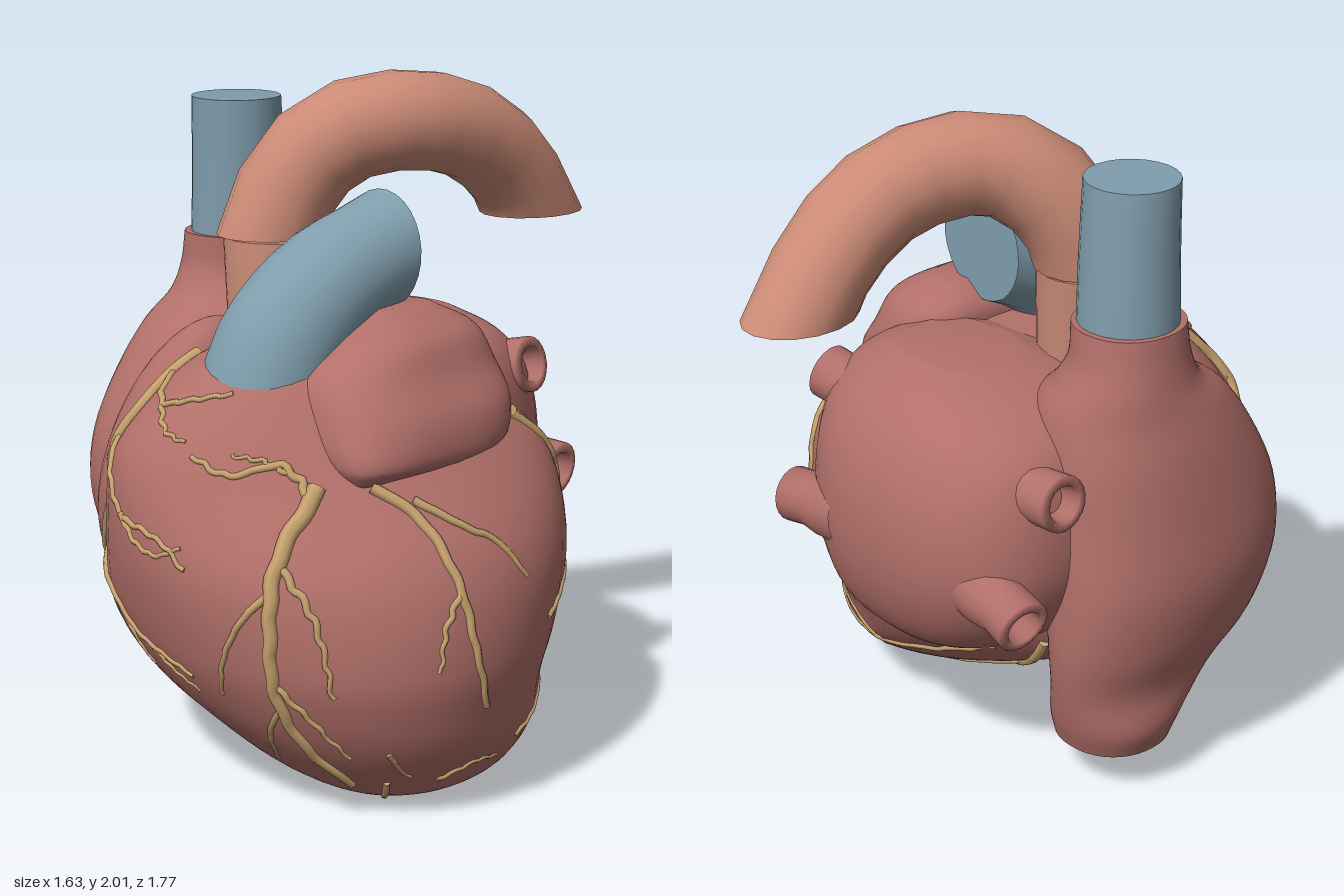
import * as THREE from 'three';

const V = (x, y, z) => new THREE.Vector3(x, y, z);
const mat = (name, color) => {
  const m = new THREE.MeshStandardMaterial({ color });
  m.name = name;
  return m;
};

// Surface through closed rings of points; flat ends get their own vertices
function skin(rings, flat) {
  const n = rings[0].length, pos = [], idx = [];
  rings.forEach(r => r.forEach(p => pos.push(p.x, p.y, p.z)));
  for (let i = 0; i < rings.length - 1; i++) {
    for (let j = 0; j < n; j++) {
      const a = i * n + j, b = i * n + (j + 1) % n;
      idx.push(a, a + n, b, b, a + n, b + n);
    }
  }
  [0, rings.length - 1].forEach((row, end) => {
    const ring = rings[row];
    const c = ring.reduce((s, p) => s.add(p), V(0, 0, 0)).divideScalar(n);
    let base = row * n;
    if (flat) {
      base = pos.length / 3;
      ring.forEach(p => pos.push(p.x, p.y, p.z));
    }
    const k = pos.length / 3;
    pos.push(c.x, c.y, c.z);
    for (let j = 0; j < n; j++) {
      const a = base + j, b = base + (j + 1) % n;
      if (end) idx.push(k, b, a); else idx.push(k, a, b);
    }
  });
  const g = new THREE.BufferGeometry();
  g.setAttribute('position', new THREE.Float32BufferAttribute(pos, 3));
  g.setIndex(idx);
  g.computeVertexNormals();
  return g;
}

// Rounded body from level sections [y, xMin, xMax, zMin, zMax, skew, cut]
// skew turns the whole section, cut trims its back corner on the -x side
function body(sections, power, flat, steps = 5, sides = 48) {
  const columns = [];
  for (let j = 0; j < sides; j++) {
    const t = j / sides * Math.PI * 2, e = 2 / power;
    const c = Math.sign(Math.cos(t)) * Math.abs(Math.cos(t)) ** e;
    const s = Math.sign(Math.sin(t)) * Math.abs(Math.sin(t)) ** e;
    const curve = new THREE.CatmullRomCurve3(sections.map(([y, x0, x1, z0, z1, skew = 0, cut = 0]) => {
      const dx = c * (x1 - x0) / 2;
      const z = (z0 + z1) / 2 + s * (z1 - z0) / 2 - skew * dx - cut * Math.min(dx, 0) * (1 - s) / 2;
      return V((x0 + x1) / 2 + dx, y, z);
    }));
    columns.push(curve.getPoints((sections.length - 1) * steps));
  }
  return skin(columns[0].map((_, i) => columns.map(col => col[i])), flat);
}

// Tapering tube along points; each end may be cut square to an axis
function pipe(points, r0, r1, segs, sides, cutAxes = []) {
  const curve = new THREE.CatmullRomCurve3(points);
  const f = curve.computeFrenetFrames(segs, false);
  const rings = curve.getSpacedPoints(segs).map((p, i) => {
    const r = r0 + (r1 - r0) * i / segs;
    const axis = i === 0 ? cutAxes[0] : i === segs ? cutAxes[1] : null;
    return Array.from({ length: sides }, (_, j) => {
      const t = j / sides * Math.PI * 2;
      const q = p.clone().addScaledVector(f.normals[i], r * Math.cos(t))
        .addScaledVector(f.binormals[i], -r * Math.sin(t));
      if (axis) q.addScaledVector(f.tangents[i], (p[axis] - q[axis]) / f.tangents[i][axis]);
      return q;
    });
  });
  return skin(rings, true);
}

export function createModel() {
  const group = new THREE.Group();
  const muscle = mat('muscle red', 0xb16f69);
  const blue = mat('vein blue', 0x7f9dac);
  const orange = mat('aorta orange', 0xcb8b76);
  const tan = mat('coronary tan', 0xc6a26e);
  const add = (name, geometry, material) => {
    const m = new THREE.Mesh(geometry, material);
    m.name = name;
    group.add(m);
    return m;
  };

  // Chambers
  const ventricles = add('ventricles', body([
    [0.003, 0.38, 0.5, 0.2, 0.36], [0.03, 0.2, 0.63, 0.0, 0.5], [0.08, 0.0, 0.69, -0.13, 0.59, 0, 0.2],
    [0.19, -0.27, 0.76, -0.26, 0.7, -0.06, 0.4], [0.31, -0.52, 0.79, -0.34, 0.78, -0.1, 0.65],
    [0.45, -0.59, 0.81, -0.4, 0.84, -0.08, 0.65], [0.7, -0.51, 0.77, -0.42, 0.88, 0.05, 0.35],
    [0.95, -0.4, 0.6, -0.33, 0.81, 0.33], [1.1, -0.31, 0.45, -0.18, 0.72, 0.3],
    [1.2, -0.24, 0.32, -0.05, 0.63, 0.15], [1.265, -0.15, 0.22, 0.05, 0.5]], 2.1), muscle);
  const rightAtrium = add('rightAtrium', body([
    [0.135, -0.7, -0.36, -0.17, 0.17], [0.22, -0.73, -0.36, -0.2, 0.2], [0.35, -0.73, -0.38, -0.23, 0.34],
    [0.5, -0.78, -0.36, -0.25, 0.48], [0.7, -0.815, -0.34, -0.25, 0.55], [0.9, -0.8, -0.3, -0.24, 0.55],
    [1.1, -0.77, -0.26, -0.23, 0.46], [1.22, -0.74, -0.25, -0.21, 0.37], [1.3, -0.72, -0.33, -0.18, 0.25],
    [1.38, -0.705, -0.375, -0.15, 0.205], [1.48, -0.69, -0.375, -0.135, 0.195]], 2.15, true), muscle);
  const rightAuricle = new THREE.SphereGeometry(1, 40, 28);
  rightAuricle.scale(0.18, 0.46, 0.29).rotateZ(-0.38).rotateY(0.15).translate(-0.44, 0.85, 0.35);
  const auricle = add('rightAuricle', rightAuricle, muscle);
  const leftAtrium = add('leftAtrium', body([
    [0.39, -0.22, 0.15, -0.38, 0.05], [0.52, -0.46, 0.31, -0.52, 0.15], [0.72, -0.58, 0.36, -0.59, 0.15],
    [0.95, -0.58, 0.37, -0.585, 0.15], [1.12, -0.53, 0.36, -0.52, 0.15], [1.22, -0.4, 0.31, -0.42, 0.14],
    [1.285, -0.18, 0.17, -0.3, 0.0]], 2.4), muscle);
  const leftAuricle = add('leftAuricle', body([
    [0.94, 0.42, 0.51, 0.28, 0.5], [0.99, 0.3, 0.58, -0.08, 0.53], [1.1, 0.14, 0.56, -0.16, 0.52],
    [1.2, 0.1, 0.49, -0.16, 0.48], [1.3, 0.1, 0.43, -0.12, 0.34], [1.37, 0.18, 0.31, 0, 0.2]], 2.8), muscle);

  // Four hollow lung vein stubs
  const stubProfile = [[0.11, 0], [0.1, 0.1], [0.083, 0.17], [0.085, 0.25], [0.055, 0.255], [0.045, 0.18], [0, 0.16]]
    .map(([r, y]) => new THREE.Vector2(r, y));
  for (const [x, y, z, dx, dy, dz] of [
    [0.35, 1.13, -0.36, 1, 0.2, -0.15], [0.34, 0.77, -0.51, 1, -0.1, -0.12],
    [-0.62, 1.04, -0.3, -1, 0.1, 0], [-0.62, 0.7, -0.45, -1, -0.25, -0.1]]) {
    const dir = V(dx, dy, dz).normalize();
    const stub = add('lungVein', new THREE.LatheGeometry(stubProfile, 20), muscle);
    stub.quaternion.setFromUnitVectors(V(0, 1, 0), dir);
    stub.position.set(x, y, z).addScaledVector(dir, -0.25);
  }

  // Great vessels
  add('upperVenaCava', pipe([V(-0.53, 1.4, 0.03), V(-0.522, 1.65, 0.035), V(-0.517, 1.9, 0.045)],
    0.15, 0.138, 4, 24, ['y', 'y']), blue);
  add('pulmonaryTrunk', pipe([V(0.05, 1.06, 0.46), V(0.065, 1.25, 0.405), V(0.095, 1.41, 0.26), V(0.12, 1.505, 0.05)],
    0.205, 0.165, 10, 28, ['y', 'z']), blue);
  add('aortaRoot', pipe([V(-0.2, 1.1, 0.17), V(-0.215, 1.3, 0.165), V(-0.23, 1.516, 0.155)],
    0.14, 0.153, 4, 24, ['y', 'y']), orange);
  add('aorticArch', pipe([V(-0.232, 1.522, 0.16), V(-0.2, 1.69, 0.1), V(-0.13, 1.8, 0.01), V(-0.05, 1.848, -0.1),
    V(0.02, 1.82, -0.36), V(0.03, 1.69, -0.58), V(0.03, 1.52, -0.705)], 0.157, 0.145, 9, 16, ['y', 'y']), orange);

  // Coronary branches are drawn flat and dropped on the muscle along a view axis
  const walls = [ventricles, rightAtrium, auricle, leftAtrium, leftAuricle];
  const axes = {
    front: (a, b) => [V(a, b, 3), V(0, 0, -1)],
    side: (a, b) => [V(3, b, a), V(-1, 0, 0)],
    below: (a, b) => [V(a, -3, b), V(0, 1, 0)],
    back: (a, b) => [V(a, b, -3), V(0, 0, 1)],
  };
  const ray = new THREE.Raycaster();
  function coronary(axis, r, path) {
    const line = new THREE.CatmullRomCurve3(path.map(([a, b]) => V(a, b, 0)));
    const pts = [];
    line.getSpacedPoints(path.length * 4).forEach((p, i) => {
      // slight wander keeps the branches from looking ruled
      const w = 0.004 * Math.sin(i * 2.1 + path[0][0] * 40);
      ray.set(...axes[axis](p.x + w, p.y + w));
      const hit = ray.intersectObjects(walls, false)[0];
      if (hit && (!pts.length || pts[pts.length - 1].distanceTo(hit.point) < 0.2)) pts.push(hit.point);
    });
    if (pts.length > 2) add('coronaryBranch', pipe(pts, r, r * 0.55, pts.length * 2, 7), tan);
  }
  const branches = {
    front: [
      [0.024, [-0.2, 1.21], [-0.22, 1.13], [-0.29, 0.98], [-0.38, 0.83], [-0.47, 0.68], [-0.56, 0.5], [-0.6, 0.37]],
      [0.013, [-0.29, 1.0], [-0.22, 0.9], [-0.13, 0.81], [0, 0.79], [0.1, 0.76], [0.17, 0.71]],
      [0.01, [-0.13, 0.81], [-0.05, 0.75], [0.05, 0.73], [0.15, 0.77]],
      [0.014, [-0.49, 0.62], [-0.42, 0.55], [-0.3, 0.52], [-0.15, 0.44], [0, 0.41], [0.14, 0.38]],
      [0.01, [-0.25, 0.49], [-0.18, 0.39], [-0.12, 0.33]],
      [0.009, [-0.05, 0.41], [0.05, 0.36], [0.14, 0.33]],
      [0.013, [-0.2, 1.17], [-0.1, 1.12], [0, 1.14], [0.12, 1.17]],
      [0.01, [-0.1, 1.12], [-0.02, 1.06], [0.06, 1.04]],
      [0.027, [0.42, 0.95], [0.43, 0.8], [0.45, 0.6], [0.45, 0.4], [0.47, 0.25], [0.52, 0.09]],
      [0.014, [0.41, 0.93], [0.32, 1.0], [0.22, 0.97], [0.1, 1.01]],
      [0.01, [0.35, 0.98], [0.28, 1.01], [0.2, 1.02]],
      [0.013, [0.44, 0.69], [0.36, 0.59], [0.29, 0.46], [0.25, 0.35]],
      [0.011, [0.46, 0.36], [0.38, 0.26], [0.32, 0.14]],
      [0.013, [0.44, 0.76], [0.54, 0.65], [0.59, 0.5], [0.6, 0.4]],
      [0.011, [0.46, 0.42], [0.53, 0.32], [0.58, 0.2]],
    ],
    side: [
      [0.018, [0.47, 0.94], [0.4, 0.87], [0.37, 0.67], [0.35, 0.5], [0.3, 0.33]],
      [0.014, [0.38, 0.9], [0.27, 0.82], [0.2, 0.78], [0.12, 0.67]],
      [0.011, [0.37, 0.68], [0.44, 0.58], [0.47, 0.46]],
      [0.018, [-0.1, 1.06], [-0.22, 0.98], [-0.3, 0.88], [-0.36, 0.7]],
      [0.01, [0.0, 0.51], [-0.08, 0.54], [-0.2, 0.59], [-0.31, 0.6]],
      [0.009, [-0.2, 0.59], [-0.3, 0.55], [-0.32, 0.47]],
      [0.009, [0.12, 0.18], [0, 0.22], [-0.1, 0.28]],
      [0.009, [0.38, 0.1], [0.28, 0.14], [0.18, 0.13]],
      [0.009, [0.56, 0.22], [0.5, 0.15], [0.46, 0.12]],
    ],
    below: [
      [0.017, [-0.28, -0.05], [-0.1, 0.03], [0.1, 0.13], [0.3, 0.26], [0.48, 0.4], [0.6, 0.5]],
      [0.01, [-0.1, 0.04], [0.08, -0.03], [0.25, -0.04]],
      [0.01, [0.1, 0.13], [0.18, 0.27], [0.28, 0.36]],
    ],
    back: [
      [0.012, [-0.15, 0.3], [0.05, 0.24], [0.25, 0.22], [0.45, 0.2], [0.6, 0.24]],
      [0.009, [0.25, 0.22], [0.38, 0.27], [0.5, 0.28]],
    ],
  };
  for (const axis in branches) branches[axis].forEach(([r, ...path]) => coronary(axis, r, path));
  return group;
}
